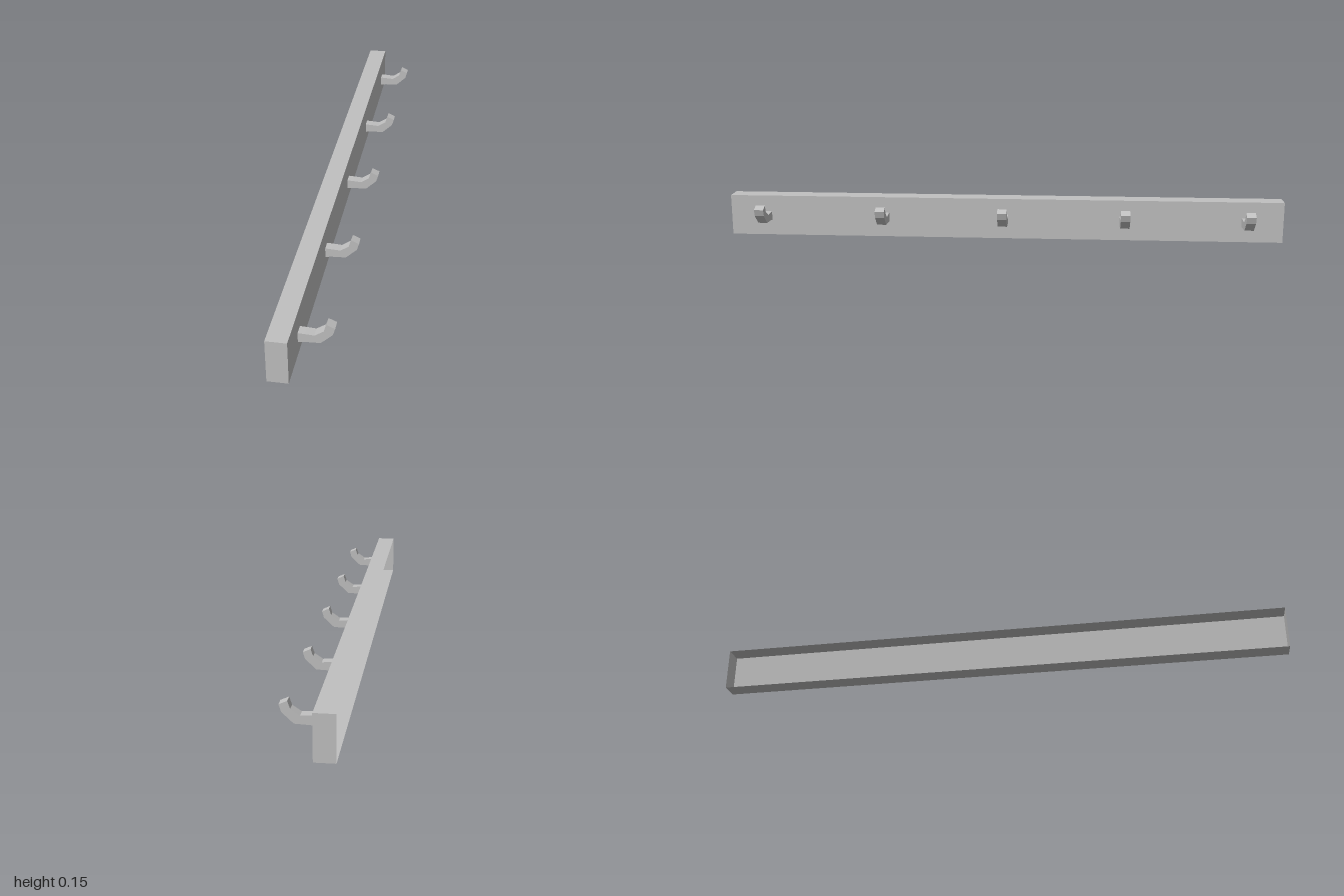
import * as THREE from 'three';

export function createModel() {
  const model = new THREE.Group();
  model.name = 'coatRack';

  const grey = new THREE.MeshStandardMaterial({ color: 0xc0c0c0, side: THREE.DoubleSide });
  grey.name = 'grey';

  // Rail: thin-walled box, open on the wall side (-x)
  const width = 0.065, height = 0.146;
  const railGeometry = new THREE.BoxGeometry(width, height, 2);
  const index = Array.from(railGeometry.index.array);
  index.splice(6, 6); // drop the -x face
  railGeometry.setIndex(index);
  railGeometry.clearGroups();
  const rail = new THREE.Mesh(railGeometry, grey);
  rail.name = 'rail';
  rail.position.set(-0.0895 + width / 2, height / 2, 0);
  model.add(rail);

  // Hook: bent bar profile, extruded along the rail
  const profile = [
    [-0.0215, 0.056], [0, 0.059], [0.046, 0.061], [0.082, 0.095], [0.089, 0.118],
    [0.064, 0.129], [0.056, 0.105], [0.028, 0.086], [0, 0.088], [-0.0215, 0.089],
  ].map(([x, y]) => new THREE.Vector2(x, y));
  const thickness = 0.033;
  const hookGeometry = new THREE.ExtrudeGeometry(new THREE.Shape(profile), {
    depth: thickness, bevelEnabled: false,
  });
  hookGeometry.translate(0, 0, -thickness / 2);

  // Five evenly spaced hooks
  for (let i = -2; i <= 2; i++) {
    const hook = new THREE.Mesh(hookGeometry, grey);
    hook.name = `hook${i + 3}`;
    hook.position.z = i * 0.4335 - 0.001;
    model.add(hook);
  }
  return model;
}
